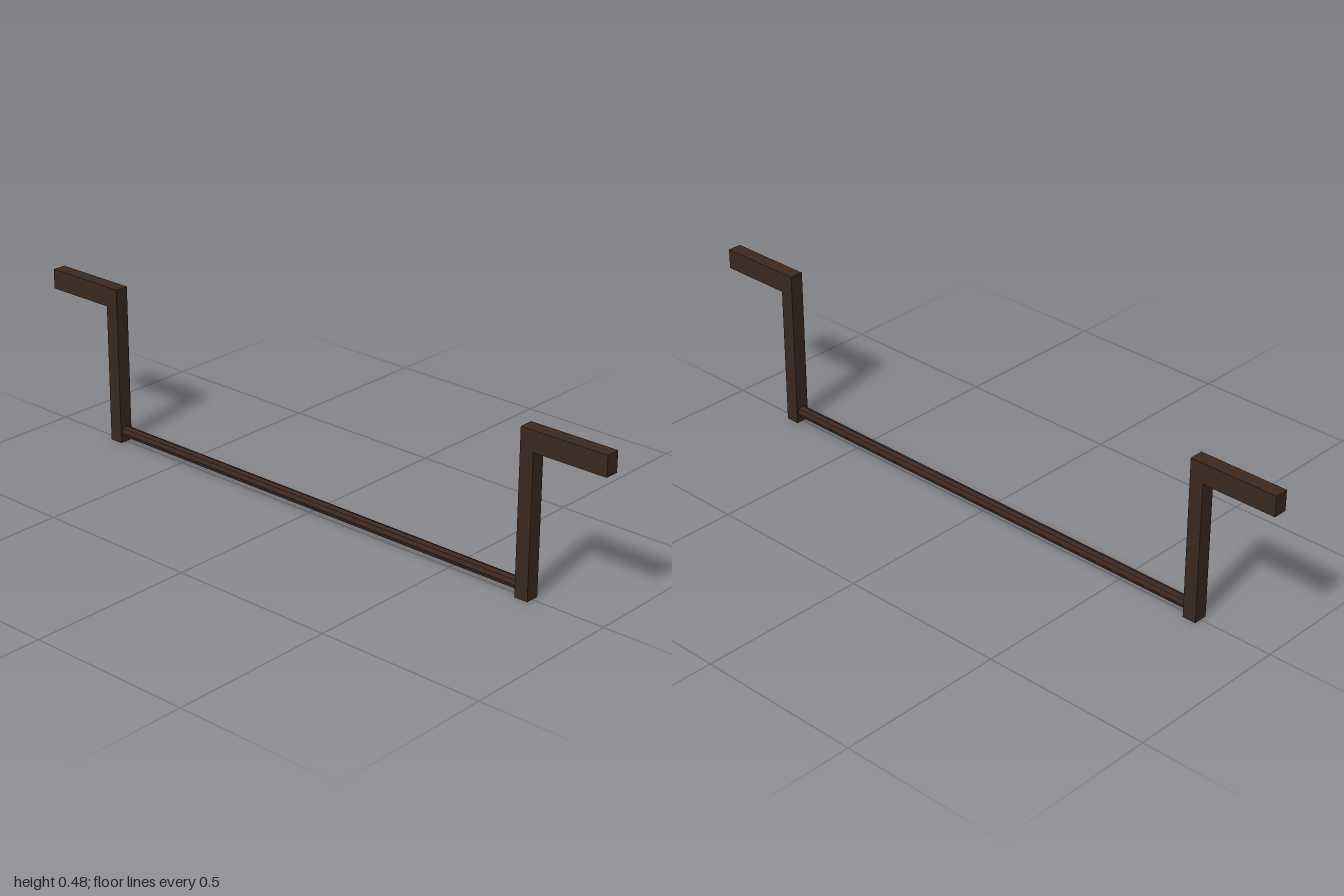
import * as THREE from 'three';

export function createModel() {
  const model = new THREE.Group();
  model.name = 'hangingRail';
  const material = new THREE.MeshStandardMaterial({ color: 0x3a281e, flatShading: true });
  const width = 0.042;

  const add = (parent, name, geometry, y, z) => {
    const mesh = new THREE.Mesh(geometry, material);
    mesh.name = name;
    mesh.position.set(0, y, z);
    parent.add(mesh);
    return mesh;
  };

  // A bracket at each end: an upright post with an arm pointing outward
  for (const [side, name] of [[1, 'frontBracket'], [-1, 'backBracket']]) {
    const bracket = new THREE.Group();
    bracket.name = name;
    add(bracket, 'post', new THREE.BoxGeometry(width, 0.42, width), 0.21, side * 0.754);
    add(bracket, 'arm', new THREE.BoxGeometry(width, 0.06, 0.267), 0.45, side * 0.8665);
    model.add(bracket);
  }

  // Round rod joining the feet of the posts
  const rod = add(model, 'rod', new THREE.CylinderGeometry(0.017, 0.017, 1.5, 8), 0.032, 0);
  rod.rotation.x = Math.PI / 2;

  return model;
}
